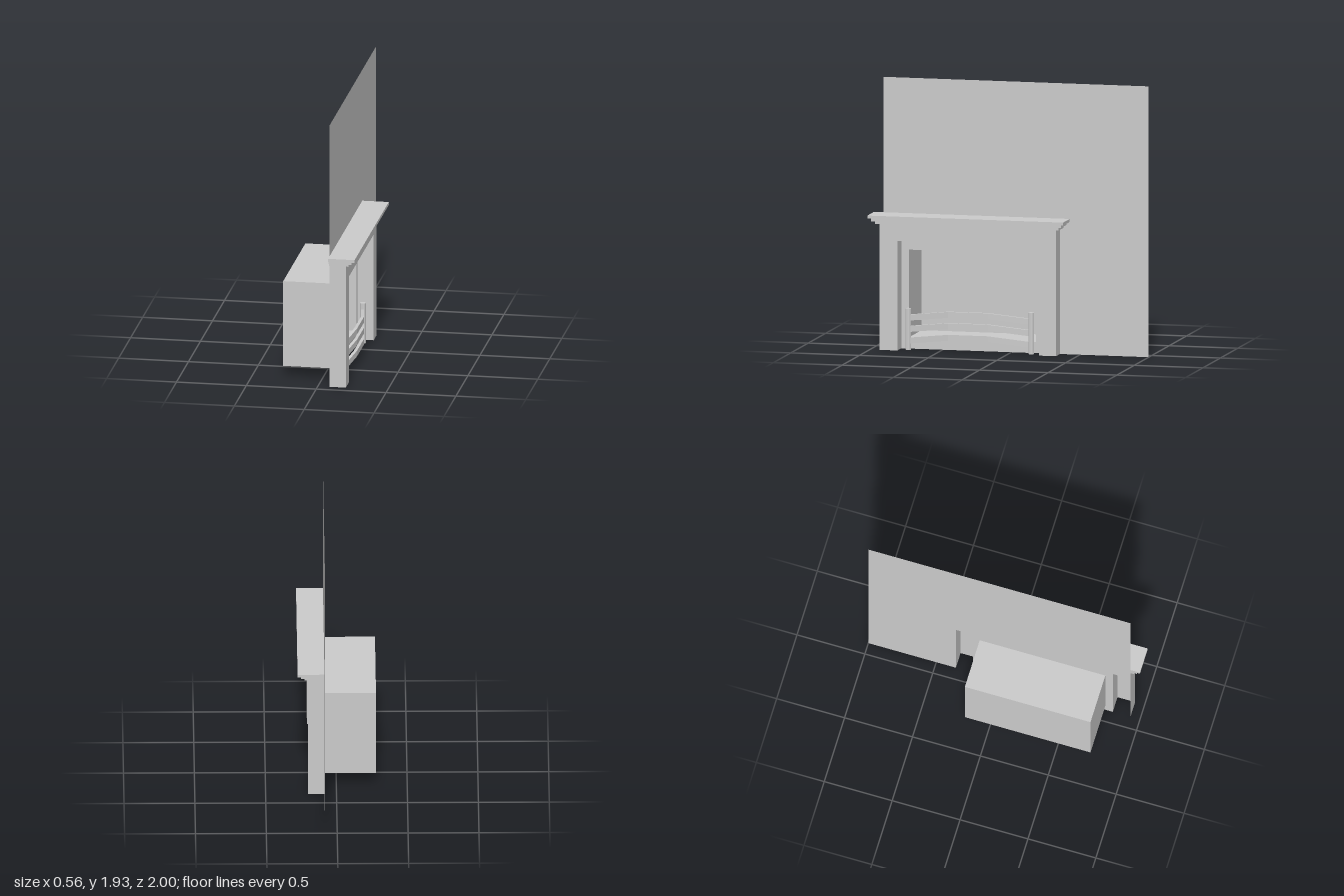
import * as THREE from 'three';

const material = new THREE.MeshStandardMaterial({ color: 0xcccccc, flatShading: true, side: THREE.DoubleSide });

// Key planes along x: the wall and the front of the surround
const WALL_X = 0.085, FRONT_X = 0.2;
// Outline positions along z
const OUT_L = 0.93, OUT_R = -0.355, IN_L = 0.8, IN_R = -0.23, IN_TOP = 0.78, TOP = 0.9;
const BOX_L = 0.745, BOX_R = -0.18, BOX_LOW = 0.08, BOX_TOP = 0.705, BOX_BACK = -0.28;

const rect = (z0, z1, y0, y1) => [[z0, y0], [z1, y0], [z1, y1], [z0, y1]];
const toVectors = (points) => points.map(([z, y]) => new THREE.Vector2(-z, y));

// Flat panel facing +x, outlined by [z, y] points
function panel(points, x, hole) {
  const shape = new THREE.Shape(toVectors(points));
  if (hole) shape.holes.push(new THREE.Path(toVectors(hole)));
  return new THREE.ShapeGeometry(shape).rotateY(Math.PI / 2).translate(x, 0, 0);
}

// Thin band that sweeps a [z, y] path from x0 to x1
function band(points, x0, x1) {
  const positions = [];
  for (let i = 0; i < points.length - 1; i++) {
    const [za, ya] = points[i], [zb, yb] = points[i + 1];
    positions.push(x0, ya, za, x0, yb, zb, x1, yb, zb);
    positions.push(x0, ya, za, x1, yb, zb, x1, ya, za);
  }
  const geometry = new THREE.BufferGeometry();
  geometry.setAttribute('position', new THREE.Float32BufferAttribute(positions, 3));
  geometry.computeVertexNormals();
  return geometry;
}

export function createModel() {
  const model = new THREE.Group();
  model.name = 'fireplace';
  const add = (name, geometry, parent = model) => {
    const mesh = new THREE.Mesh(geometry, material);
    mesh.name = name;
    parent.add(mesh);
    return mesh;
  };
  const group = (name) => {
    const g = new THREE.Group();
    g.name = name;
    model.add(g);
    return g;
  };

  // Chimney wall, cut away behind the two legs and at the firebox
  add('wall', panel([
    [-1, 0], [OUT_R, 0], [OUT_R, IN_TOP], [IN_R, IN_TOP], [IN_R, 0],
    [IN_L, 0], [IN_L, IN_TOP], [OUT_L, IN_TOP], [OUT_L, 1.93], [-1, 1.93],
  ], WALL_X, rect(BOX_L, BOX_R, BOX_LOW, BOX_TOP)));

  // Firebox, open towards the room
  const firebox = group('firebox');
  const boxOutline = rect(BOX_L, BOX_R, BOX_LOW, BOX_TOP);
  add('fireboxSides', band([...boxOutline, boxOutline[0]], BOX_BACK, WALL_X), firebox);
  add('fireboxBack', panel(boxOutline, BOX_BACK), firebox);

  // Surround: hollow legs and lintel
  const surround = group('surround');
  const outer = [[OUT_L, 0], [OUT_L, TOP], [OUT_R, TOP], [OUT_R, 0]];
  const inner = [[IN_R, 0], [IN_R, IN_TOP], [IN_L, IN_TOP], [IN_L, 0]];
  add('surroundFront', panel([...outer, ...inner], FRONT_X), surround);
  add('surroundOuterSides', band(outer, WALL_X, FRONT_X), surround);
  add('surroundReveal', band(inner, WALL_X, FRONT_X), surround);

  // Stepped mantel shelf, each layer reaching further out
  const mantel = group('mantelShelf');
  const step = 0.065 / 3;
  for (let i = 0; i < 3; i++) {
    const reach = 0.025 * (i + 1);
    const depth = FRONT_X + reach - WALL_X;
    const shelf = add('mantelLayer', new THREE.BoxGeometry(depth, step, OUT_L - OUT_R + 2 * reach - 0.005 * i), mantel);
    shelf.position.set(WALL_X + depth / 2, TOP + step * (i + 0.5), (OUT_L + OUT_R) / 2);
  }

  // Grate: two round posts joined by bars that bow up and forward
  const grate = group('grate');
  const postX = 0.135, postZ = [0.737, -0.157];
  for (const z of postZ) {
    add('gratePost', new THREE.CylinderGeometry(0.021, 0.021, 0.295, 12), grate).position.set(postX, 0.1475, z);
  }
  const middle = (postZ[0] + postZ[1]) / 2;
  for (const y of [0.067, 0.149, 0.23]) {
    const bar = new THREE.BoxGeometry(0.022, 0.042, 0.86, 1, 1, 3);
    const p = bar.attributes.position;
    for (let i = 0; i < p.count; i++) {
      if (Math.abs(p.getZ(i)) < 0.2) p.setXY(i, p.getX(i) + 0.05, p.getY(i) + 0.036);
    }
    bar.computeVertexNormals();
    add('grateBar', bar, grate).position.set(postX, y, middle);
  }
  return model;
}
